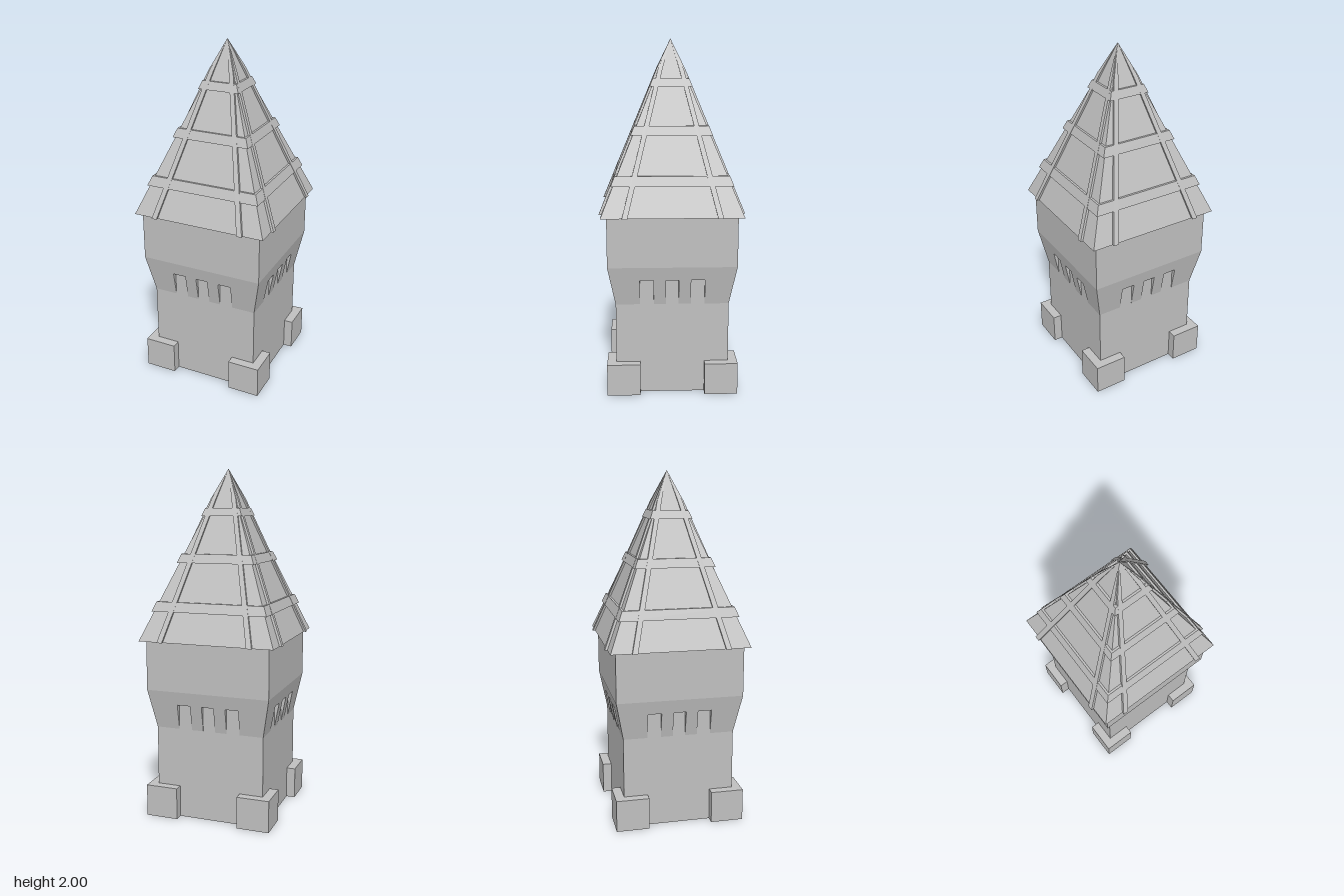
import * as THREE from 'three';

const EAVE = 1.04, TOP = 2, ROOF = 0.395;
const WALL = 0.32, UPPER = 0.363, FLARE0 = 0.53, FLARE1 = 0.755;
const roofHalf = (y) => ROOF * (TOP - y) / (TOP - EAVE);
const flareHalf = (y) => WALL + (UPPER - WALL) * (y - FLARE0) / (FLARE1 - FLARE0);

export function createModel() {
  const group = new THREE.Group();
  const stone = new THREE.MeshStandardMaterial({ color: 0xc0c0c0, side: THREE.DoubleSide });
  stone.name = 'grey stone';

  // Makes one part from the corners of its front (+z) side, repeated on all four sides
  function part(name, polygons) {
    const pos = [];
    for (let k = 0; k < 4; k++) {
      const c = Math.round(Math.cos(k * Math.PI / 2)), s = Math.round(Math.sin(k * Math.PI / 2));
      for (const p of polygons) {
        for (let i = 1; i < p.length - 1; i++) {
          for (const [x, y, z] of [p[0], p[i], p[i + 1]]) pos.push(c * x + s * z, y, -s * x + c * z);
        }
      }
    }
    const geo = new THREE.BufferGeometry();
    geo.setAttribute('position', new THREE.Float32BufferAttribute(pos, 3));
    geo.computeVertexNormals();
    const mesh = new THREE.Mesh(geo, stone);
    mesh.name = name;
    group.add(mesh);
  }

  // Symmetric strip between two heights, half-widths equal to the distance from the axis
  const strip = (y0, h0, y1, h1) => [[-h0, y0, h0], [h0, y0, h0], [h1, y1, h1], [-h1, y1, h1]];
  // Rectangle between two x positions
  const panel = (x0, x1, y0, z0, y1, z1) => [[x0, y0, z0], [x1, y0, z0], [x1, y1, z1], [x0, y1, z1]];

  // Corner blocks, open below, wrapping the foot of the tower
  const B = 0.372, IN = 0.183, BH = 0.185;
  const blocks = [];
  for (const s of [-1, 1]) {
    const side = [
      [[s * IN, 0, B], [s * B, 0, B], [s * B, BH, B], [s * IN, BH, B]],
      [[s * IN, BH, B], [s * B, BH, B], [s * WALL, BH, WALL], [s * IN, BH, WALL]],
      [[s * IN, 0, WALL], [s * IN, 0, B], [s * IN, BH, B], [s * IN, BH, WALL]],
    ];
    blocks.push(...(s > 0 ? side : side.map((p) => p.reverse())));
  }
  part('cornerBlocks', blocks);

  // Lower shaft, interrupted where the corner blocks stand
  part('lowerWalls', [
    panel(-IN, IN, 0, WALL, BH, WALL),
    strip(BH, WALL, FLARE0, WALL),
  ]);

  // Flared storey with three slots per side
  const slots = [[-0.183, -0.105], [-0.036, 0.036], [0.105, 0.183]];
  const ST = 0.677, SZ = flareHalf(ST);
  const flare = [strip(ST, SZ, FLARE1, UPPER)];
  const edges = [null, ...slots.flat(), null];
  for (let i = 0; i < edges.length; i += 2) {
    const a = edges[i], b = edges[i + 1];
    flare.push([[a ?? -WALL, FLARE0, WALL], [b ?? WALL, FLARE0, WALL], [b ?? SZ, ST, SZ], [a ?? -SZ, ST, SZ]]);
  }
  for (const [a, b] of slots) {
    flare.push(
      panel(a, b, FLARE0, WALL, ST, WALL),
      panel(a, b, ST, WALL, ST, SZ),
      [[a, FLARE0, WALL], [a, ST, SZ], [a, ST, WALL]],
      [[b, FLARE0, WALL], [b, ST, WALL], [b, ST, SZ]],
    );
  }
  part('flaredStorey', flare);
  part('upperWalls', [strip(FLARE1, UPPER, EAVE, UPPER)]);

  // Pyramid roof with its narrow soffit
  part('roof', [
    [[-ROOF, EAVE, ROOF], [ROOF, EAVE, ROOF], [0, TOP, 0]],
    strip(EAVE, UPPER, EAVE, ROOF),
  ]);

  // Raised horizontal bands around the roof
  const LIFT = 0.012;
  const bands = [];
  for (const [y0, y1] of [[1.206, 1.26], [1.474, 1.524], [1.735, 1.78]]) {
    const r0 = roofHalf(y0), r1 = roofHalf(y1);
    bands.push(
      strip(y0, r0, y0, r0 + LIFT),
      strip(y0, r0 + LIFT, y1, r1 + LIFT),
      strip(y1, r1 + LIFT, y1, r1),
    );
  }
  part('roofBands', bands);

  // Sloping ribs, two per side, tapering into the tip: [y, inner x, outer x, lift]
  const sections = [[EAVE, 0.247, 0.278, 0.014], [1.83, 0.047, 0.073, 0.012], [TOP, 0, 0, 0]];
  const ribs = [];
  for (const s of [-1, 1]) {
    const rings = sections.map(([y, a, b, lift]) => {
      const z = roofHalf(y);
      return [[s * a, y, z], [s * a, y, z + lift], [s * b, y, z + lift], [s * b, y, z]];
    });
    const faces = [[...rings[0]].reverse()];
    for (let i = 0; i < rings.length - 1; i++) {
      for (let j = 0; j < 3; j++) {
        faces.push([rings[i][j], rings[i][j + 1], rings[i + 1][j + 1], rings[i + 1][j]]);
      }
    }
    ribs.push(...(s > 0 ? faces : faces.map((p) => p.reverse())));
  }
  part('roofRibs', ribs);

  return group;
}
